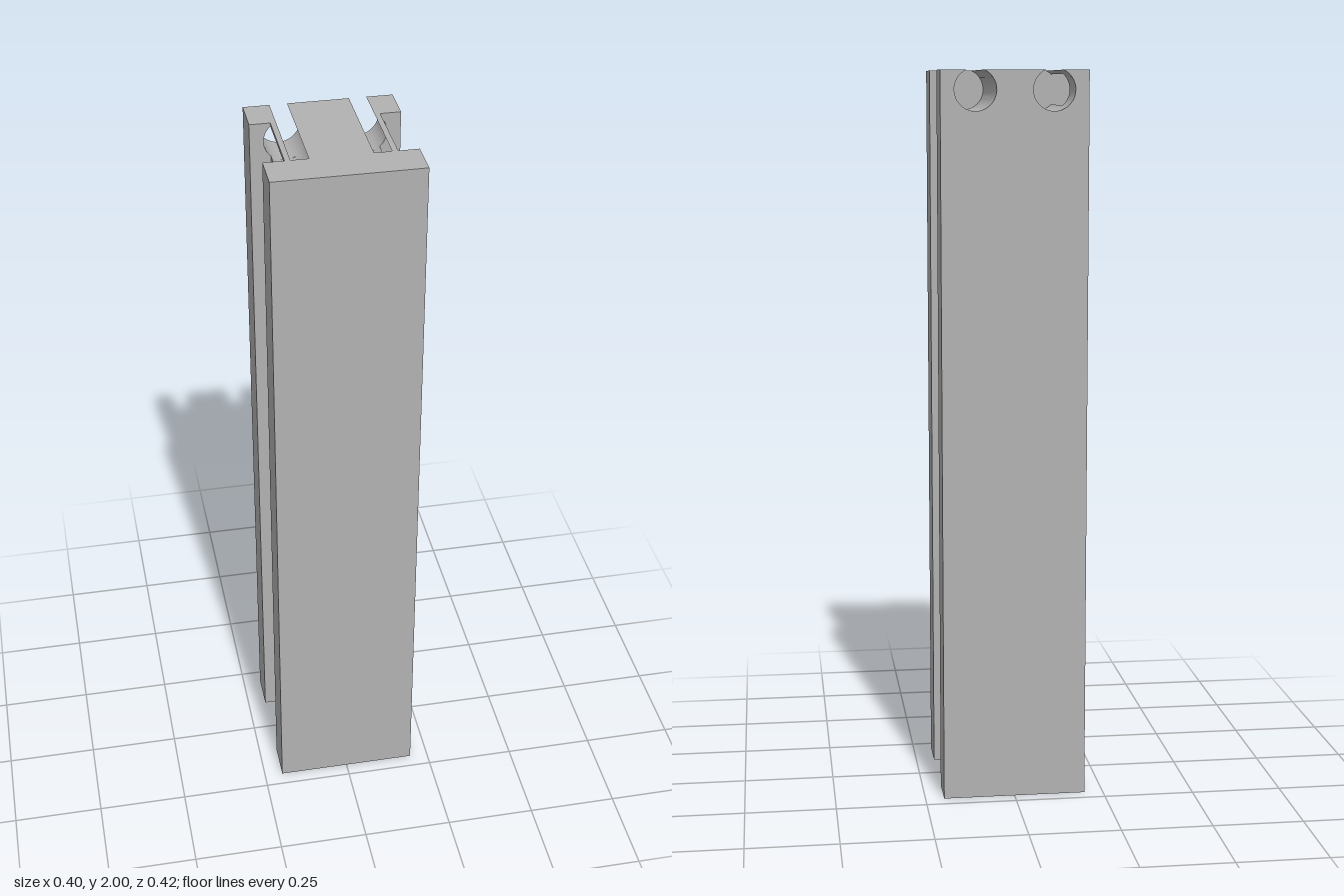
import * as THREE from 'three';
import { toCreasedNormals } from 'three/addons/utils/BufferGeometryUtils.js';

// Main sizes
const H = 2, HALF_X = 0.198, HALF_Z = 0.21;
const WEB_X = 0.143, NOTCH_Z = 0.106;
// Round grooves that break through the top and through the web sides
const CX = 0.105, CY = 1.9487, R = 0.0563;
const TOP = Math.asin((H - CY) / R);
const SIDE = Math.acos((WEB_X - CX) / R);

function arc(from, to, steps = 32) {
  const pts = [];
  for (let i = 0; i <= steps; i++) {
    const a = from + (to - from) * i / steps;
    pts.push([CX + R * Math.cos(a), CY + R * Math.sin(a)]);
  }
  return pts;
}

const mirror = pts => pts.map(([x, y]) => [-x, y]).reverse();
const symmetric = pts => [...pts, ...mirror(pts)];
const toShape = pts => new THREE.Shape(pts.map(([x, y]) => new THREE.Vector2(x, y)));

// Outer walls only of an outline extruded along z
function walls(pts, z0, z1) {
  const full = new THREE.ExtrudeGeometry(toShape(pts), { depth: z1 - z0, bevelEnabled: false });
  const { start, count } = full.groups[1];
  const geo = new THREE.BufferGeometry();
  const positions = full.attributes.position.array.slice(start * 3, (start + count) * 3);
  geo.setAttribute('position', new THREE.BufferAttribute(positions, 3));
  geo.translate(0, 0, z0);
  return toCreasedNormals(geo, 0.5);
}

// Flat face at z, looking along +z or -z
function cap(pts, z, dir) {
  if (dir > 0) return new THREE.ShapeGeometry(toShape(pts)).translate(0, 0, z);
  return new THREE.ShapeGeometry(toShape(mirror(pts))).rotateY(Math.PI).translate(0, 0, z);
}

export function createModel() {
  const model = new THREE.Group();
  model.name = 'groovedPost';
  const grey = new THREE.MeshStandardMaterial({ color: 0xb2b2b2 });
  grey.name = 'grey';

  function add(name, geometry) {
    const mesh = new THREE.Mesh(geometry, grey);
    mesh.name = name;
    model.add(mesh);
  }

  // Cross-sections
  const front = symmetric([[HALF_X, 0], [HALF_X, H]]);
  const back = symmetric([[HALF_X, 0], [HALF_X, H], ...arc(TOP, -Math.PI - TOP)]);
  const web = symmetric([[WEB_X, 0], ...arc(-SIDE, -Math.PI - TOP)]);
  const rail = [[WEB_X, H], ...arc(TOP, SIDE, 8)];
  const backStep = [[WEB_X, 0], [HALF_X, 0], [HALF_X, H], [WEB_X, H], ...arc(SIDE, -SIDE)];
  const frontStep = [[WEB_X, 0], [HALF_X, 0], [HALF_X, H], ...arc(Math.PI - TOP, 2 * Math.PI - SIDE)];

  // Front flange, closed to the grooves
  add('frontFlangeWalls', walls(front, NOTCH_Z, HALF_Z));
  add('frontFace', cap(front, HALF_Z, 1));

  // Web joining the flanges
  add('webWalls', walls(web, -NOTCH_Z, NOTCH_Z));

  // Back flange with the open groove ends
  add('backFlangeWalls', walls(back, -HALF_Z, -NOTCH_Z));
  add('backFace', cap(back, -HALF_Z, -1));

  // Flange shoulders, groove ends and thin rails, on both sides
  for (const [side, flip] of [['left', p => p], ['right', mirror]]) {
    add(side + 'TopRail', walls(flip(rail), -NOTCH_Z, NOTCH_Z));
    add(side + 'BackShoulder', cap(flip(backStep), -NOTCH_Z, 1));
    add(side + 'FrontShoulder', cap(flip(frontStep), NOTCH_Z, -1));
  }
  return model;
}
